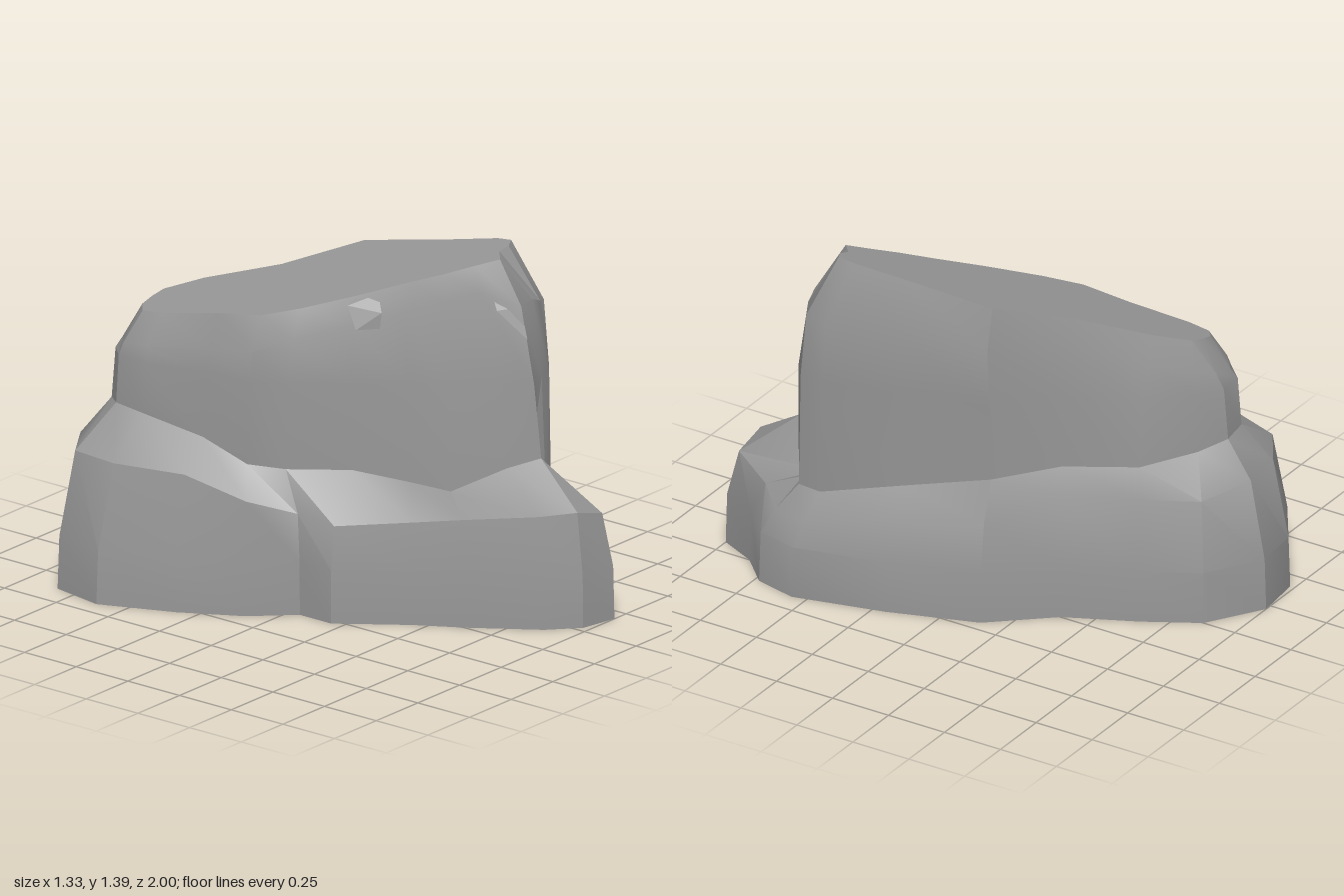
import * as THREE from 'three';
import { toCreasedNormals } from 'three/addons/utils/BufferGeometryUtils.js';
import { ConvexGeometry } from 'three/addons/geometries/ConvexGeometry.js';

// Stations around the rock: base x, base z, rim height, rim inset, foot x, foot z, foot height
const STATIONS = [
  [0.43, 1.00, 0.42, 0.14, 0.44, 0.57, 0.45],
  [0.50, 0.85, 0.36, 0.30, 0.50, 0.61, 0.44],
  [0.62, 0.73, 0.32, 0.40, 0.545, 0.60, 0.43],
  [0.66, 0.56, 0.32, 0.45, 0.555, 0.50, 0.43],
  [0.57, 0.20, 0.38, 0.40, 0.46, 0.20, 0.50],
  [0.45, -0.15, 0.42, 0.35, 0.36, -0.14, 0.58],
  [0.25, -0.38, 0.50, 0.60, 0.16, -0.33, 0.60],
  [0.12, -0.65, 0.50, 0.60, 0.04, -0.60, 0.62],
  [0.00, -0.86, 0.50, 0.35, -0.12, -0.76, 0.66],
  [-0.22, -1.00, 0.54, 0.40, -0.22, -0.83, 0.69],
  [-0.42, -0.98, 0.55, 0.35, -0.33, -0.82, 0.70],
  [-0.63, -0.84, 0.55, 0.30, -0.39, -0.75, 0.71],
  [-0.67, -0.62, 0.55, 0.35, -0.40, -0.60, 0.70],
  [-0.55, -0.33, 0.54, 0.30, -0.33, -0.38, 0.64],
  [-0.42, -0.10, 0.46, 0.20, -0.31, -0.18, 0.57],
  [-0.28, 0.05, 0.41, 0.15, -0.24, -0.05, 0.56],
  [-0.28, 0.20, 0.39, 0.15, -0.09, 0.15, 0.56],
  [-0.10, 0.45, 0.41, 0.15, 0.05, 0.32, 0.51],
  [0.00, 0.62, 0.43, 0.15, 0.13, 0.45, 0.48],
  [0.17, 0.87, 0.45, 0.14, 0.27, 0.61, 0.57],
  [0.28, 0.97, 0.46, 0.14, 0.35, 0.71, 0.61],
];

// Upper edge of the crag at the same stations: x, z, drop below the top, brow inset
const TOP = [
  [0.42, 0.61, 0.20, 0.40], [0.48, 0.60, 0.24, 0.35], [0.54, 0.57, 0.27, 0.35], [0.55, 0.48, 0.28, 0.38],
  [0.47, 0.20, 0.22, 0.30], [0.37, -0.13, 0.18, 0.12], [0.13, -0.35, 0.12, 0.12], [-0.02, -0.60, 0.12, 0.15],
  [-0.13, -0.74, 0.12, 0.25], [-0.20, -0.79, 0.12, 0.40], [-0.30, -0.79, 0.12, 0.40],
  [-0.37, -0.73, 0.10, 0.40], [-0.38, -0.60, 0.10, 0.40], [-0.31, -0.36, 0.12, 0.20],
  [-0.29, -0.17, 0.12, 0.15], [-0.21, -0.04, 0.10, 0.15], [-0.07, 0.13, 0.10, 0.15],
  [0.07, 0.28, 0.10, 0.15], [0.16, 0.39, 0.10, 0.15], [0.25, 0.50, 0.10, 0.20], [0.33, 0.63, 0.18, 0.30],
];

const lerp = THREE.MathUtils.lerp;
const mix = (a, b, t, y) => [lerp(a[0], b[0], t), y, lerp(a[1], b[1], t)];
const topHeight = (x, z) => 1.23 + 0.25 * x + 0.118 * z;
const material = new THREE.MeshStandardMaterial({ color: 0x959595, side: THREE.DoubleSide });

// Joins closed rings of equal length into a skin
function loft(rings, crease) {
  const n = rings[0].length;
  const index = [];
  for (let r = 0; r < rings.length - 1; r++) {
    for (let i = 0; i < n; i++) {
      const a = r * n + i, b = r * n + (i + 1) % n;
      index.push(a, b, a + n, b, b + n, a + n);
    }
  }
  const geometry = new THREE.BufferGeometry();
  geometry.setAttribute('position', new THREE.Float32BufferAttribute(rings.flat(2), 3));
  geometry.setIndex(index);
  return toCreasedNormals(geometry, crease);
}

export function createModel() {
  const group = new THREE.Group();
  const add = (name, geometry) => {
    const mesh = new THREE.Mesh(geometry, material);
    mesh.name = name;
    group.add(mesh);
  };

  const foot = STATIONS.map(([, , , , x, z, y]) => [x, y, z]);

  // Wide lower rock, open underneath, with a sloping ledge
  const baseRing = (share, height) => STATIONS.map(([bx, bz, rim, inset, ux, uz]) =>
    mix([bx, bz], [ux, uz], inset * share, height(rim)));
  add('baseRock', loft([
    baseRing(0, () => 0.01),
    baseRing(0.1, () => 0.22),
    baseRing(1, (rim) => rim),
    foot,
  ], 0.5));

  // Tall upper rock with a bevelled, slanting top and a groove at its front end
  const middle = foot.map(([x, , z], i) => {
    const p = mix([x, z], TOP[i], i < 3 ? 0.85 : 0.35, 0.9);
    if (i < 3) p[2] += [0.05, 0.04, 0.02][i];
    return p;
  });
  const edge = TOP.map(([x, z, drop]) => [x, topHeight(x, z) - drop, z]);
  const spine = TOP.map(([, z]) => {
    const cz = THREE.MathUtils.clamp(z, -0.62, 0.3);
    const cx = -0.22 + (cz + 0.62) * 0.58;
    return [cx, topHeight(cx, cz), cz];
  });
  const brow = TOP.map((p, i) => {
    const [x, , z] = mix(p, [spine[i][0], spine[i][2]], p[3], 0);
    return [x, topHeight(x, z), z];
  });
  add('upperRock', loft([foot, middle, edge, brow, spine], 0.5));

  // Small broken pieces on the front face: corner points
  const chips = {
    topChip: [[-0.08, 1.12, 0.16], [-0.01, 1.12, 0.22], [-0.08, 1.21, 0.12], [0.03, 1.24, 0.18],
      [0, 1.24, 0.12], [0, 1.18, 0.22]],
    frontSplinter: [[0.27, 1.19, 0.56], [0.33, 1.08, 0.66], [0.34, 1.2, 0.62], [0.3, 1.34, 0.48],
      [0.34, 1.32, 0.53]],
  };
  for (const [name, points] of Object.entries(chips)) {
    add(name, new ConvexGeometry(points.map((p) => new THREE.Vector3(...p))));
  }
  return group;
}
